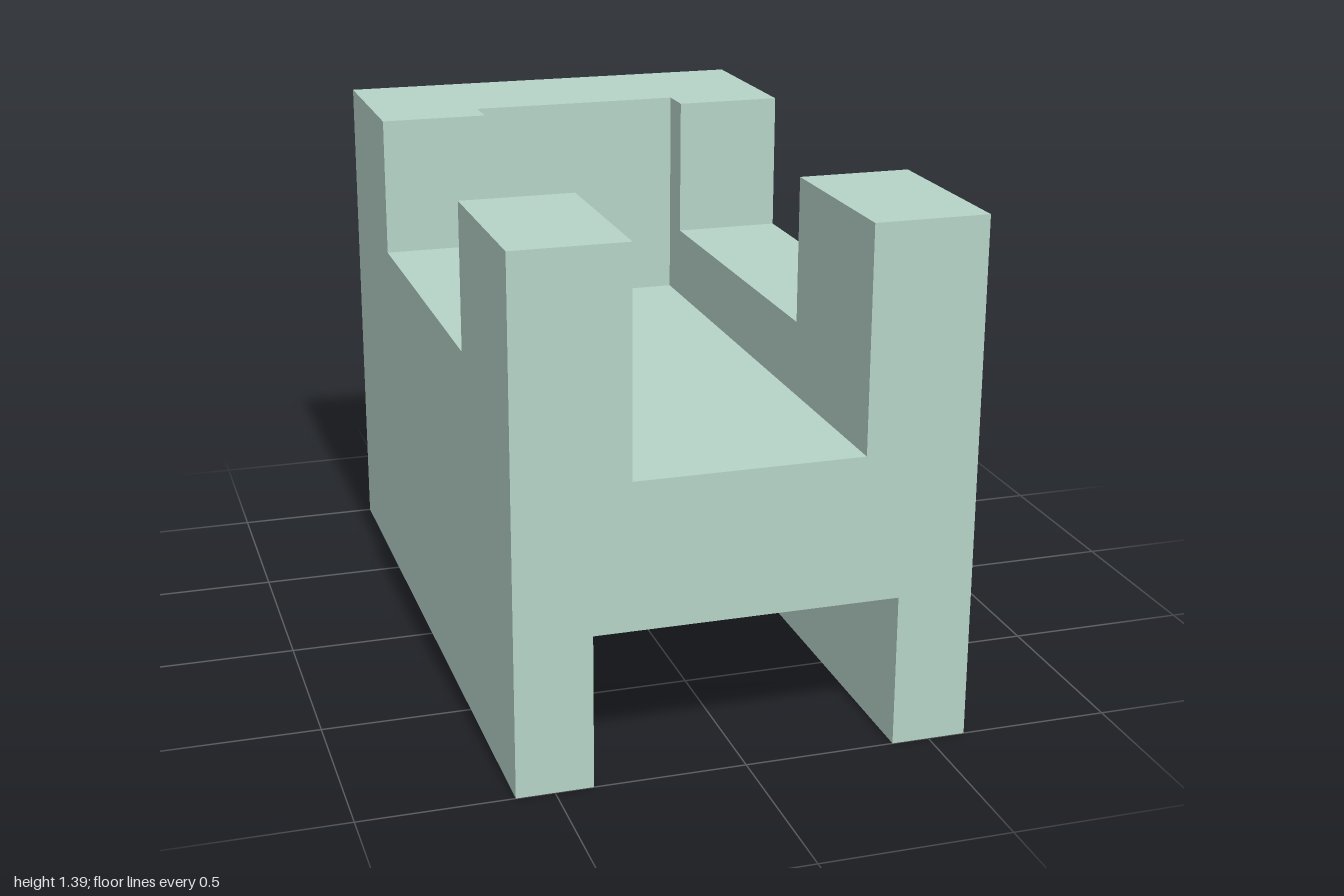
import * as THREE from 'three';

const H = 1.39;       // full height
const RAIL = 1.0;     // height of the lowered side rails
const FLOOR = 0.8;    // floor of the upper channel
const CEILING = 0.41; // ceiling of the lower slot
const BACK = -0.6;    // inner end of both channels

const material = new THREE.MeshStandardMaterial({ color: 0xb5d3c8, flatShading: true });

// Block between two opposite corners
function block(name, x0, x1, y0, y1, z0, z1) {
  const geometry = new THREE.BoxGeometry(x1 - x0, y1 - y0, z1 - z0);
  geometry.translate((x0 + x1) / 2, (y0 + y1) / 2, (z0 + z1) / 2);
  const mesh = new THREE.Mesh(geometry, material);
  mesh.name = name;
  return mesh;
}

// Wall with a wide notch in its top edge: a (z, y) profile extruded along x
function notchedWall(name, x0, x1, bottom, zBack) {
  const profile = new THREE.Shape([
    [zBack, bottom], [1, bottom], [1, H], [0.5, H],
    [0.5, RAIL], [-0.5, RAIL], [-0.5, H], [zBack, H],
  ].map(([z, y]) => new THREE.Vector2(z, y)));
  const geometry = new THREE.ExtrudeGeometry(profile, { depth: x1 - x0, bevelEnabled: false });
  geometry.rotateY(-Math.PI / 2);
  geometry.translate(x1, 0, 0);
  const mesh = new THREE.Mesh(geometry, material);
  mesh.name = name;
  return mesh;
}

export function createModel() {
  const model = new THREE.Group();
  model.name = 'notchedBlock';

  // Side walls down to the ground, with a thinner inner layer above the lower slot
  model.add(
    notchedWall('leftWall', 0.4, 0.6, 0, -1),
    notchedWall('rightWall', -0.6, -0.4, 0, -1),
    notchedWall('leftInnerWall', 0.3, 0.4, CEILING, BACK),
    notchedWall('rightInnerWall', -0.4, -0.3, CEILING, BACK),
  );

  // Deck between the upper channel and the lower slot
  model.add(block('deck', -0.3, 0.3, CEILING, FLOOR, BACK, 1));

  // Solid back wall, with the stubs that carry the rear corners out to the notch
  model.add(block('backWall', -0.4, 0.4, 0, H, -1, BACK));

  return model;
}
